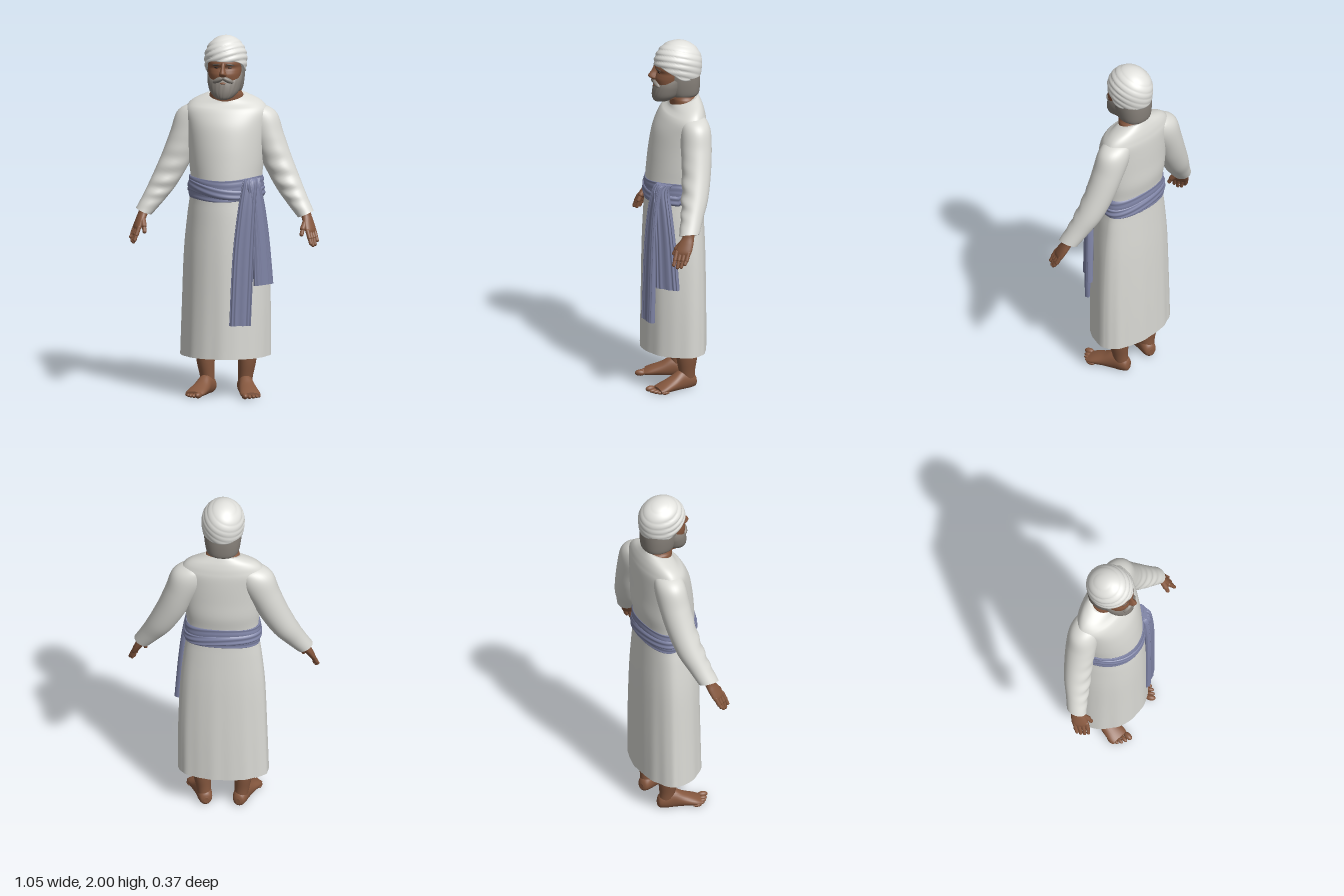
import * as THREE from 'three';

const mat = (name, color) => Object.assign(new THREE.MeshStandardMaterial({ color }), { name });
const V = (x, y, z) => new THREE.Vector3(x, y, z);
const X = V(1, 0, 0), Y = V(0, 1, 0), Z = V(0, 0, 1);

// Closed-ring surface; faces are turned outwards by the sign of the volume
function skin(rings) {
  const n = rings[0].length, pos = [], idx = [];
  rings.forEach(r => r.forEach(p => pos.push(p.x, p.y, p.z)));
  for (let i = 0; i < rings.length - 1; i++) for (let j = 0; j < n; j++) {
    const a = i * n + j, b = i * n + (j + 1) % n;
    idx.push(a, b, a + n, b, b + n, a + n);
  }
  const flat = rings.flat(), o = flat[0];
  let vol = 0;
  for (let k = 0; k < idx.length; k += 3) {
    const [p, q, r] = [0, 1, 2].map(m => flat[idx[k + m]].clone().sub(o));
    vol += p.dot(q.cross(r));
  }
  if (vol < 0) idx.reverse();
  const g = new THREE.BufferGeometry();
  g.setAttribute('position', new THREE.Float32BufferAttribute(pos, 3));
  g.setIndex(idx);
  g.computeVertexNormals();
  return g;
}

// Smooth loft through rows [x, y, z, halfU, halfV, halfV on the far side]; warp bends each point
function loft(rows, { u = X, v = Z, n = 40, steps = 5, e = 2, hollow = 0, warp } = {}) {
  const rings = [], at = i => rows[Math.max(0, Math.min(rows.length - 1, i))];
  const cr = (a, b, c, d, t) => b + 0.5 * t * (c - a + t * (2 * a - 5 * b + 4 * c - d + t * (3 * (b - c) + d - a)));
  const pw = c => Math.sign(c) * Math.abs(c) ** (2 / e);
  const total = (rows.length - 1) * steps;
  for (let k = 0; k <= total; k++) {
    const i = Math.min(Math.floor(k / steps), rows.length - 2), t = k / steps - i;
    const [x, y, z, a, b, far = b] = rows[0].map((_, c) => cr(at(i - 1)[c], at(i)[c], at(i + 1)[c], at(i + 2)[c], t));
    rings.push(Array.from({ length: n }, (_, j) => {
      const w = j / n * Math.PI * 2, sn = pw(Math.sin(w));
      const p = V(x, y, z).addScaledVector(u, a * pw(Math.cos(w))).addScaledVector(v, (sn > 0 ? b : far) * sn);
      if (warp) warp(p, w, k / total);
      return p;
    }));
  }
  // separate cap vertices keep the end edges crisp
  const cap = (ring, lift) => {
    const c = ring.reduce((s, p) => s.add(p), V(0, 0, 0)).divideScalar(n);
    c.y += lift;
    return [ring.map(p => p.clone()), ring.map(() => c.clone())];
  };
  return skin([...cap(rings[0], hollow).reverse(), ...rings, ...cap(rings[total], 0)]);
}

export function createModel() {
  const root = new THREE.Group();
  root.name = 'robedMan';
  const cloth = mat('robe white', 0xdadad5), wrap = mat('turban white', 0xe2e2de);
  const blue = mat('sash blue', 0x7f84a6), flesh = mat('skin brown', 0x86583f);
  const grey = mat('hair grey', 0x87817a), brow = mat('brow grey', 0x544a43), dark = mat('eye dark', 0x241a16);
  const add = (name, g, m, parent = root) => {
    const mesh = new THREE.Mesh(g, m);
    mesh.name = name;
    parent.add(mesh);
    return mesh;
  };
  const ball = (name, m, p, r, parent) => {
    const b = add(name, new THREE.SphereGeometry(1, 20, 14), m, parent);
    b.position.set(...p);
    b.scale.set(...r);
    return b;
  };
  const limb = (name, m, a, b, r, parent) => {
    const d = b.clone().sub(a), c = add(name, new THREE.CapsuleGeometry(r, d.length(), 5, 12), m, parent);
    c.position.copy(a).addScaledVector(d, 0.5);
    c.quaternion.setFromUnitVectors(Y, d.normalize());
  };

  // Robe: skirt, body and shoulders in one loft, flatter at the back, with soft folds towards the hem
  add('robe', loft([
    [-0.004, 0.22, -0.06, 0.25, 0.24, 0.118], [0, 0.5, -0.06, 0.245, 0.236, 0.117], [0, 0.8, -0.06, 0.234, 0.231, 0.112],
    [0, 1.0, -0.06, 0.215, 0.223, 0.104], [0, 1.1, -0.06, 0.202, 0.216, 0.1], [0, 1.2, -0.06, 0.197, 0.212, 0.1],
    [0, 1.3, -0.065, 0.207, 0.208, 0.11], [0, 1.4, -0.07, 0.215, 0.2, 0.106], [0, 1.5, -0.075, 0.224, 0.183, 0.102],
    [0, 1.57, -0.08, 0.232, 0.155, 0.095], [0, 1.608, -0.08, 0.215, 0.127, 0.088], [0, 1.635, -0.077, 0.183, 0.102, 0.08],
    [0, 1.655, -0.07, 0.137, 0.086, 0.076], [0, 1.667, -0.065, 0.102, 0.078, 0.074],
  ], {
    n: 96, hollow: 0.12,
    warp: (p, w) => {
      const k = 1 + Math.max(0, 1.1 - p.y) * 0.01 * (Math.sin(w * 9 + 1) + 0.6 * Math.sin(w * 17));
      p.x *= k; p.z *= k;
      if (p.y > 1.6) p.y -= 0.3 * (p.z + 0.065) * (p.y - 1.6) / 0.067;
    },
  }), cloth);

  // Sash: main band and a crossing wrap, both pleated
  const band = (name, lo, hi, grow, slope) => add(name, loft(
    [[0, lo, 0.2, 0.212], [0, lo + 0.01, 0.208, 0.22], [0, hi - 0.01, 0.206, 0.218], [0, hi, 0.198, 0.211]]
      .map(([x, y, a, f]) => [x, y, -0.06, a + grow, f + grow, f - 0.113 + grow]),
    {
      n: 96, steps: 10,
      warp: (p, w) => {
        const k = 1 + 0.011 * Math.sin(p.y * 210 + 3 * Math.sin(w + 0.6));
        p.x *= k; p.z *= k;
        p.y += slope * p.x * (p.z > 0 ? 1 : 0.5) + 0.005 * Math.sin(w * 3);
      },
    }), blue);
  band('sashBand', 1.1, 1.217, 0, 0.02);
  band('sashWrap', 1.115, 1.175, 0.006, -0.12);

  // Hanging sash ends with lengthwise pleats, tucked over the band
  const tail = (name, rows, u) => {
    const v = u.clone().cross(Y);
    add(name, loft(rows, {
      u, v, n: 64, e: 3.5,
      warp: (p, w) => p.addScaledVector(v, 0.004 * Math.sin(Math.cos(w) * 16) * Math.sign(Math.sin(w))),
    }), blue);
  };
  tail('longSashEnd', [[0.155, 1.222, 0.098, 0.038, 0.012], [0.152, 1.19, 0.118, 0.042, 0.017], [0.138, 1.05, 0.142, 0.05, 0.015],
    [0.12, 0.8, 0.156, 0.059, 0.014], [0.103, 0.41, 0.163, 0.06, 0.014]], V(0.97, 0, -0.24).normalize());
  tail('shortSashEnd', [[0.165, 1.222, 0.085, 0.045, 0.015], [0.17, 1.18, 0.103, 0.046, 0.018], [0.19, 1.06, 0.098, 0.052, 0.018],
    [0.207, 0.88, 0.088, 0.06, 0.018], [0.221, 0.63, 0.08, 0.07, 0.018]], V(0.6, 0, -0.8));

  for (const s of [1, -1]) {
    const side = s > 0 ? 'left' : 'right';
    const m = rows => rows.map(([x, ...r]) => [x * s, ...r]);

    // Sleeve, creased at the elbow
    add(side + 'Sleeve', loft(m([
      [0.11, 1.6, -0.08, 0.03, 0.05], [0.15, 1.577, -0.082, 0.07, 0.075], [0.19, 1.522, -0.085, 0.096, 0.085],
      [0.235, 1.42, -0.08, 0.086, 0.085], [0.285, 1.3, -0.068, 0.08, 0.08], [0.345, 1.18, -0.045, 0.071, 0.074],
      [0.4, 1.09, -0.016, 0.058, 0.063], [0.449, 1.018, 0.01, 0.047, 0.057],
    ]), {
      u: V(0.92 * s, 0.39, 0), steps: 8,
      warp: (p, w, t) => {
        const bend = Math.exp(-(((t - 0.7) / 0.17) ** 2));
        p.z += 0.005 * bend * Math.sin(t * 60 + w * 2) * Math.max(0, Math.sin(w));
      },
    }), cloth);

    // Hand, palm turned a little backwards
    const hand = new THREE.Group();
    hand.name = side + 'Hand';
    root.add(hand);
    const wide = V(-0.45 * s, 0, 0.89);
    add('palm', loft(m([[0.444, 1.05, 0.008, 0.027, 0.034], [0.453, 1.01, 0.016, 0.025, 0.033],
      [0.466, 0.975, 0.032, 0.022, 0.042], [0.481, 0.935, 0.05, 0.018, 0.046], [0.487, 0.917, 0.057, 0.011, 0.04]]),
    { u: V(0.83 * s, 0.36, 0.42).normalize(), v: wide, n: 24 }), flesh, hand);
    for (let i = 0; i < 4; i++) {
      const o = i - 1.5, drop = [0.022, 0.004, 0, 0.012][i];
      const joint = (x, y, z, gap) => V(x * s, y, z).addScaledVector(wide, o * gap);
      const mid = joint(0.495, 0.896, 0.068, 0.022);
      limb('finger', flesh, joint(0.482, 0.935, 0.054, 0.022), mid, 0.0118, hand);
      limb('fingertip', flesh, mid, joint(0.503, 0.855 + drop, 0.078, 0.021), 0.01, hand);
    }
    limb('thumbBase', flesh, V(0.453 * s, 0.985, 0.045), V(0.441 * s, 0.945, 0.078), 0.0155, hand);
    limb('thumbTip', flesh, V(0.441 * s, 0.945, 0.078), V(0.436 * s, 0.915, 0.093), 0.0115, hand);

    // Leg
    add(side + 'Leg', loft(m([[0.1, 0.03, -0.06, 0.036, 0.042], [0.107, 0.1, -0.055, 0.041, 0.046],
      [0.116, 0.2, -0.053, 0.052, 0.06], [0.12, 0.36, -0.05, 0.06, 0.065]]), { n: 28 }), flesh);

    // Foot, flat underneath and turned out
    const foot = new THREE.Group();
    foot.name = side + 'Foot';
    foot.position.set(0.101 * s, 0, -0.06);
    foot.rotation.y = 0.3 * s;
    root.add(foot);
    add('sole', loft(m([[0, 0.03, -0.05, 0.014, 0.018], [0, 0.036, -0.04, 0.032, 0.036], [0, 0.045, -0.01, 0.041, 0.052],
      [0, 0.048, 0.04, 0.042, 0.06], [0, 0.034, 0.1, 0.05, 0.04], [0.002, 0.022, 0.16, 0.056, 0.026],
      [0.002, 0.016, 0.193, 0.05, 0.016]]),
    { v: Y, n: 28, warp: p => { p.y = Math.max(0.003, p.y); } }), flesh, foot);
    for (let i = 0; i < 5; i++) {
      const r = i ? 0.012 - i * 0.0006 : 0.017;
      ball('toe', flesh, [s * [-0.037, -0.011, 0.012, 0.032, 0.05][i], r, 0.214 - i * i * 0.0025 - i * 0.002],
        [r, r, i ? 0.024 : 0.029], foot);
    }
  }

  // Head: neck, face, hair and beard
  const head = new THREE.Group();
  head.name = 'head';
  root.add(head);
  add('neck', loft([[0, 1.6, -0.063, 0.098, 0.075], [0, 1.665, -0.058, 0.094, 0.077], [0, 1.69, -0.05, 0.083, 0.075],
    [0, 1.75, -0.04, 0.07, 0.07]]), flesh, head);
  add('face', loft([[0, 1.68, 0.02, 0.06, 0.06], [0, 1.74, 0.018, 0.08, 0.076], [0, 1.79, 0.014, 0.089, 0.09],
    [0, 1.815, 0.01, 0.092, 0.089], [0, 1.835, 0.008, 0.092, 0.085], [0, 1.86, 0.006, 0.094, 0.096],
    [0, 1.9, 0, 0.09, 0.085]], { e: 2.2 }), flesh, head);
  add('backHair', loft([[0, 1.682, -0.06, 0.066, 0.066], [0, 1.7, -0.058, 0.089, 0.087], [0, 1.76, -0.05, 0.101, 0.101],
    [0, 1.82, -0.045, 0.104, 0.104], [0, 1.88, -0.045, 0.1, 0.1]], { e: 2.3 }), grey, head);
  add('beard', loft([[0, 1.656, 0.07, 0.02, 0.024], [0, 1.668, 0.06, 0.05, 0.05], [0, 1.7, 0.038, 0.08, 0.077],
    [0, 1.745, 0.02, 0.094, 0.088], [0, 1.775, 0.004, 0.097, 0.09], [0, 1.805, -0.02, 0.096, 0.078]], {
    n: 64,
    warp: (p, w) => { p.z += 0.0015 * Math.sin(w * 22 + p.y * 30) * Math.max(0, Math.sin(w)); },
  }), grey, head);
  add('nose', loft([[0, 1.785, 0.1, 0.012, 0.012], [0, 1.797, 0.106, 0.021, 0.024], [0, 1.81, 0.107, 0.018, 0.032],
    [0, 1.835, 0.098, 0.011, 0.024], [0, 1.862, 0.092, 0.012, 0.015]], { n: 20 }), flesh, head);
  ball('lowerLip', flesh, [0, 1.75, 0.102], [0.018, 0.006, 0.009], head);
  for (const s of [1, -1]) {
    ball('eye', dark, [0.035 * s, 1.836, 0.084], [0.014, 0.005, 0.008], head);
    ball('eyebrow', brow, [0.038 * s, 1.853, 0.091], [0.025, 0.006, 0.008], head).rotation.set(0, 0.3 * s, -0.15 * s);
    ball('moustache', grey, [0.027 * s, 1.768, 0.098], [0.036, 0.014, 0.017], head).rotation.set(0, 0.35 * s, -0.45 * s);
  }

  // Turban: domed wrap with broad slanting folds, hem raised over the brow
  const rings = [];
  for (let i = 0; i <= 48; i++) {
    const t = Math.min(1, i / 44), tuck = 1 - 0.05 * Math.max(0, i - 44);
    rings.push(Array.from({ length: 80 }, (_, j) => {
      const w = j / 80 * Math.PI * 2, c = Math.cos(w), sn = Math.sin(w);
      const hem = 1.797 + 0.073 * THREE.MathUtils.smoothstep(sn, -0.2, 0.95);
      const y = hem + (2 - hem) * Math.cos(t * Math.PI / 2);
      const d = y - 1.872;
      let r = d > 0 ? Math.sqrt(Math.max(0, 1 - (d / 0.128) ** 2)) : 1 - 12 * d * d;
      const phase = (y - r * (0.045 * c + 0.035 * sn)) * 27, saw = phase - Math.floor(phase);
      const front = 0.3 + 0.7 * THREE.MathUtils.smoothstep(sn, -0.9, 0.2);
      r *= tuck * (1 + 0.07 * front * (Math.sin(saw * Math.PI) ** 0.6 - 0.75) * Math.min(1, r * 2));
      return V(0.118 * r * c, y, -0.03 + 0.134 * r * sn);
    }));
  }
  add('turban', skin(rings), wrap, head);
  return root;
}
